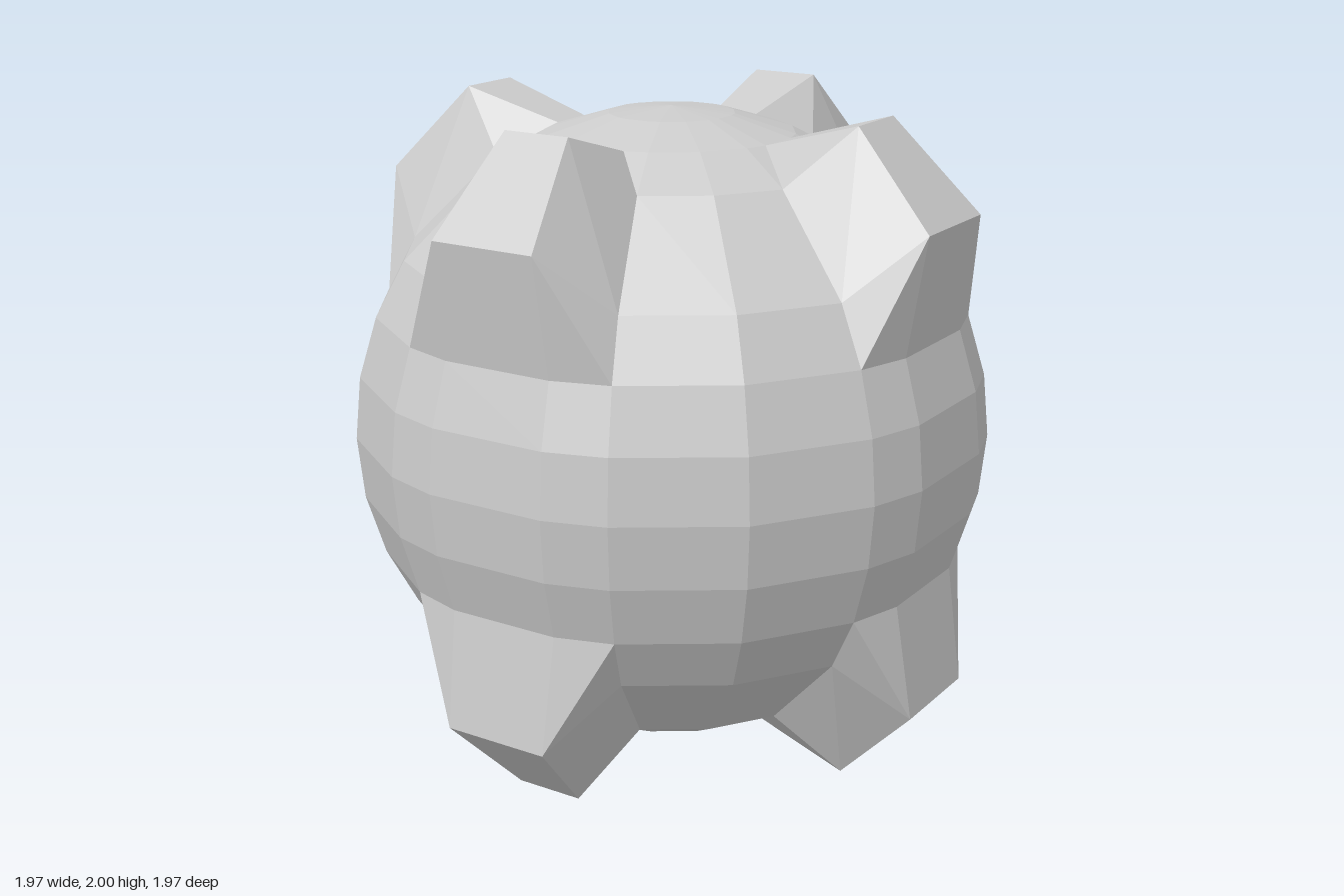
import * as THREE from 'three';

const R = 0.985;
const rad = THREE.MathUtils.degToRad;

// Uneven ring and meridian spacing: wide strips where the studs sit
const halfLats = [11.25, 22.5, 33.75, 56.25, 67.5, 78.75, 90];
const lats = [...halfLats.map((a) => -a).reverse(), 0, ...halfLats];
const quarter = [0, 22.5, 33.75, 56.25, 67.5];
const azimuths = [0, 90, 180, 270].flatMap((q) => quarter.map((a) => a + q));

// Ball point; the four corners of each diagonal stud patch are pulled outwards
function surfacePoint(az, lat) {
  const local = az % 90;
  const up = Math.sign(lat);
  let r = R * Math.cos(rad(lat));
  let y = R * Math.sin(rad(lat));
  let angle = az;
  const onStud = local === 33.75 || local === 56.25;
  const side = local < 45 ? 1 : -1;
  if (onStud && Math.abs(lat) === 33.75) {
    r = 0.96; y = 0.73 * up; angle += side * 1.2; // outer stud edge
  } else if (onStud && Math.abs(lat) === 56.25) {
    r = 0.695; y = up; angle += side * 2.4; // top stud edge
  }
  return new THREE.Vector3(r * Math.cos(rad(angle)), 1 + y, r * Math.sin(rad(angle)));
}

function studdedBallGeometry() {
  const points = [];
  const index = [];
  const n = azimuths.length;
  for (const lat of lats) for (const az of azimuths) points.push(surfacePoint(az, lat));
  for (let j = 0; j < lats.length - 1; j++) {
    for (let i = 0; i < n; i++) {
      const k = (i + 1) % n;
      const a = j * n + i, b = j * n + k, c = b + n, d = a + n;
      // Each pole row needs only one triangle per sector
      if (j === 0) index.push(a, d, c);
      else if (j === lats.length - 2) index.push(a, d, b);
      // Diagonals mirror about the middle of each quarter and the equator
      else if ((azimuths[i] % 90 < 45) === (lats[j] >= 0)) index.push(a, d, c, a, c, b);
      else index.push(a, d, b, d, c, b);
    }
  }
  const indexed = new THREE.BufferGeometry().setFromPoints(points);
  indexed.setIndex(index);
  const geometry = indexed.toNonIndexed();
  geometry.computeVertexNormals();
  return geometry;
}

export function createModel() {
  const group = new THREE.Group();
  group.name = 'studdedSphere';
  // One continuous faceted skin with eight corner studs
  const ball = new THREE.Mesh(
    studdedBallGeometry(),
    new THREE.MeshStandardMaterial({ color: 0xcccccc, flatShading: true })
  );
  ball.name = 'ballWithStuds';
  group.add(ball);
  return group;
}
